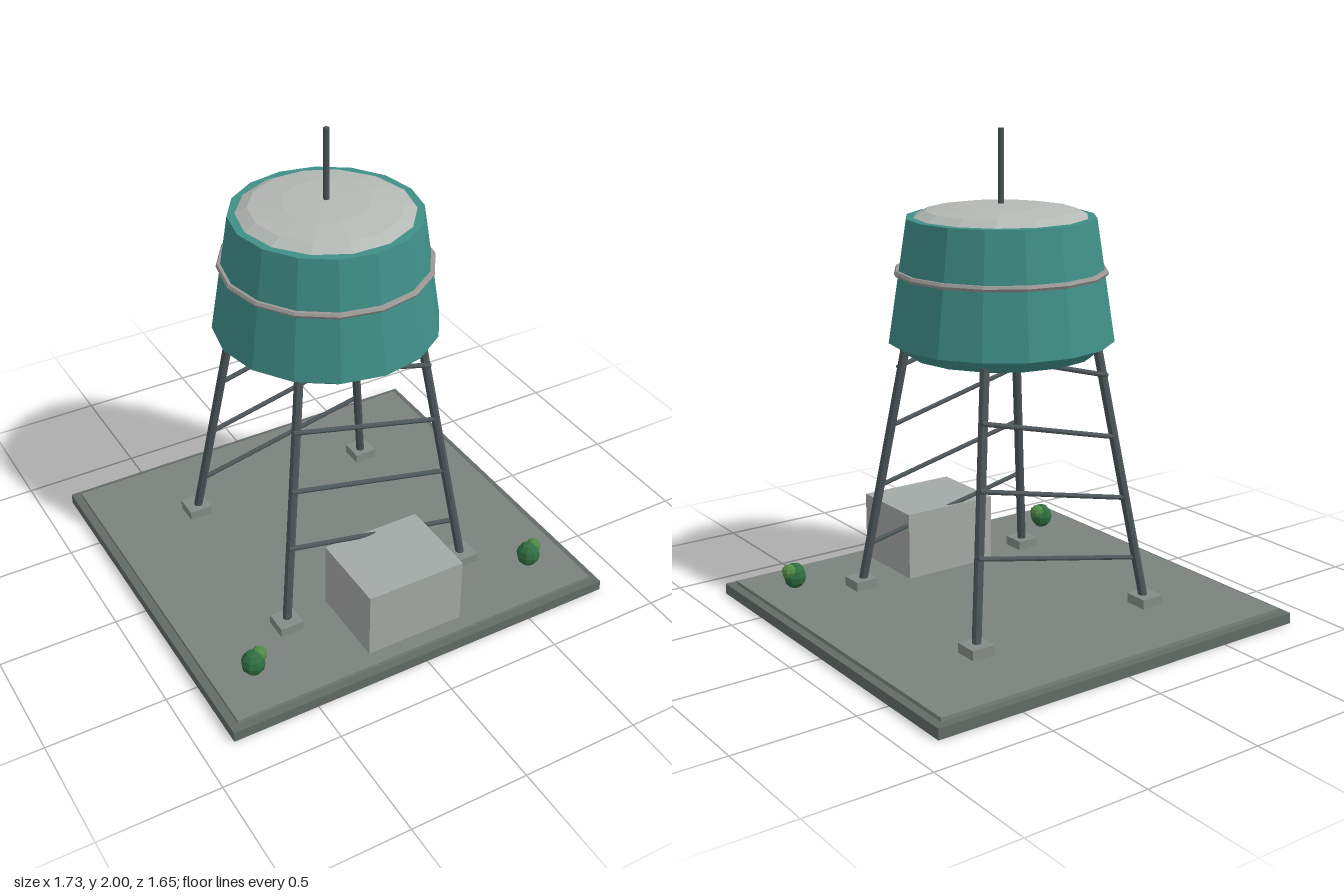
import * as THREE from 'three';

const paint = (color) => new THREE.MeshStandardMaterial({ color, flatShading: true });

export function createModel() {
  const model = new THREE.Group();
  const steel = paint(0x4c5659);
  const concrete = paint(0x858b86);
  const slab = paint(0x7b827c);
  const kerb = paint(0x626b66);
  const teal = paint(0x3f8f88);
  const pale = paint(0xb4b9b5);
  const trim = paint(0x9b9896);
  const shedGrey = paint(0xa3a9a6);
  const darkLeaf = paint(0x2f6e40);
  const lightLeaf = paint(0x508a45);

  const add = (name, geometry, material, x = 0, y = 0, z = 0, parent = model) => {
    const mesh = new THREE.Mesh(geometry, material);
    mesh.name = name;
    mesh.position.set(x, y, z);
    parent.add(mesh);
    return mesh;
  };

  // Round bar running between two points
  const bar = (name, from, to, radius, parent) => {
    const a = new THREE.Vector3(...from);
    const b = new THREE.Vector3(...to);
    const dir = b.clone().sub(a);
    const mesh = add(name, new THREE.CylinderGeometry(radius, radius, dir.length(), 8), steel, 0, 0, 0, parent);
    mesh.position.copy(a).add(b).multiplyScalar(0.5);
    mesh.quaternion.setFromUnitVectors(new THREE.Vector3(0, 1, 0), dir.normalize());
    return mesh;
  };

  // Ground slab with a stepped edge
  add('basePlate', new THREE.BoxGeometry(1.73, 0.045, 1.65), kerb, 0, 0.0225, 0);
  add('groundSlab', new THREE.BoxGeometry(1.66, 0.016, 1.58), slab, 0, 0.053, 0);

  // Footings and inward leaning legs
  const frame = new THREE.Group();
  frame.name = 'supportFrame';
  model.add(frame);
  for (const sx of [-1, 1]) {
    for (const sz of [-1, 1]) {
      add('footing', new THREE.BoxGeometry(0.1, 0.04, 0.1), concrete, sx * 0.425, 0.081, sz * 0.425, frame);
      bar('leg', [sx * 0.42, 0.09, sz * 0.42], [sx * 0.276, 1.13, sz * 0.276], 0.019, frame);
    }
  }

  // Diagonal braces: front and back slope in opposite directions
  for (let i = 0; i < 4; i++) {
    const low = 0.26 + i * 0.255;
    const high = low + 0.165;
    const reach = 0.39 - i * 0.029;
    for (const sz of [-1, 1]) {
      bar('brace', [-sz * reach, high, sz * reach], [sz * reach, low, sz * reach], 0.01, frame);
    }
  }

  // Tank with rounded belly, shallow lid, hoop and mast
  const tank = new THREE.Group();
  tank.name = 'tank';
  model.add(tank);
  add('tankWall', new THREE.CylinderGeometry(0.381, 0.457, 0.49, 16), teal, 0, 1.41, 0, tank);
  const belly = add('tankBelly',
    new THREE.SphereGeometry(0.44, 16, 3, 0, Math.PI * 2, Math.PI / 2, Math.PI / 2), teal, 0, 1.167, 0, tank);
  belly.scale.y = 0.25;
  const lid = add('tankLid',
    new THREE.SphereGeometry(0.35, 14, 3, 0, Math.PI * 2, 0, Math.PI / 2), pale, 0, 1.656, 0, tank);
  lid.scale.y = 0.142;
  const hoop = add('tankHoop', new THREE.TorusGeometry(0.418, 0.013, 6, 16), trim, 0, 1.44, 0, tank);
  hoop.rotation.x = Math.PI / 2;
  bar('mast', [0, 1.69, 0], [0, 2, 0], 0.012, tank);

  // Shed between the front legs
  add('shed', new THREE.BoxGeometry(0.43, 0.29, 0.355), shedGrey, 0, 0.205, 0.55);

  // Shrubs at the front corners
  for (const x of [-0.66, 0.656]) {
    const shrub = new THREE.Group();
    shrub.name = 'shrub';
    shrub.position.set(x, 0, 0.588);
    model.add(shrub);
    add('shrubBody', new THREE.SphereGeometry(0.05, 8, 6), darkLeaf, 0, 0.11, 0, shrub).scale.y = 1.1;
    add('shrubTuft', new THREE.SphereGeometry(0.032, 8, 6), lightLeaf, 0.03, 0.136, -0.008, shrub);
  }

  return model;
}
